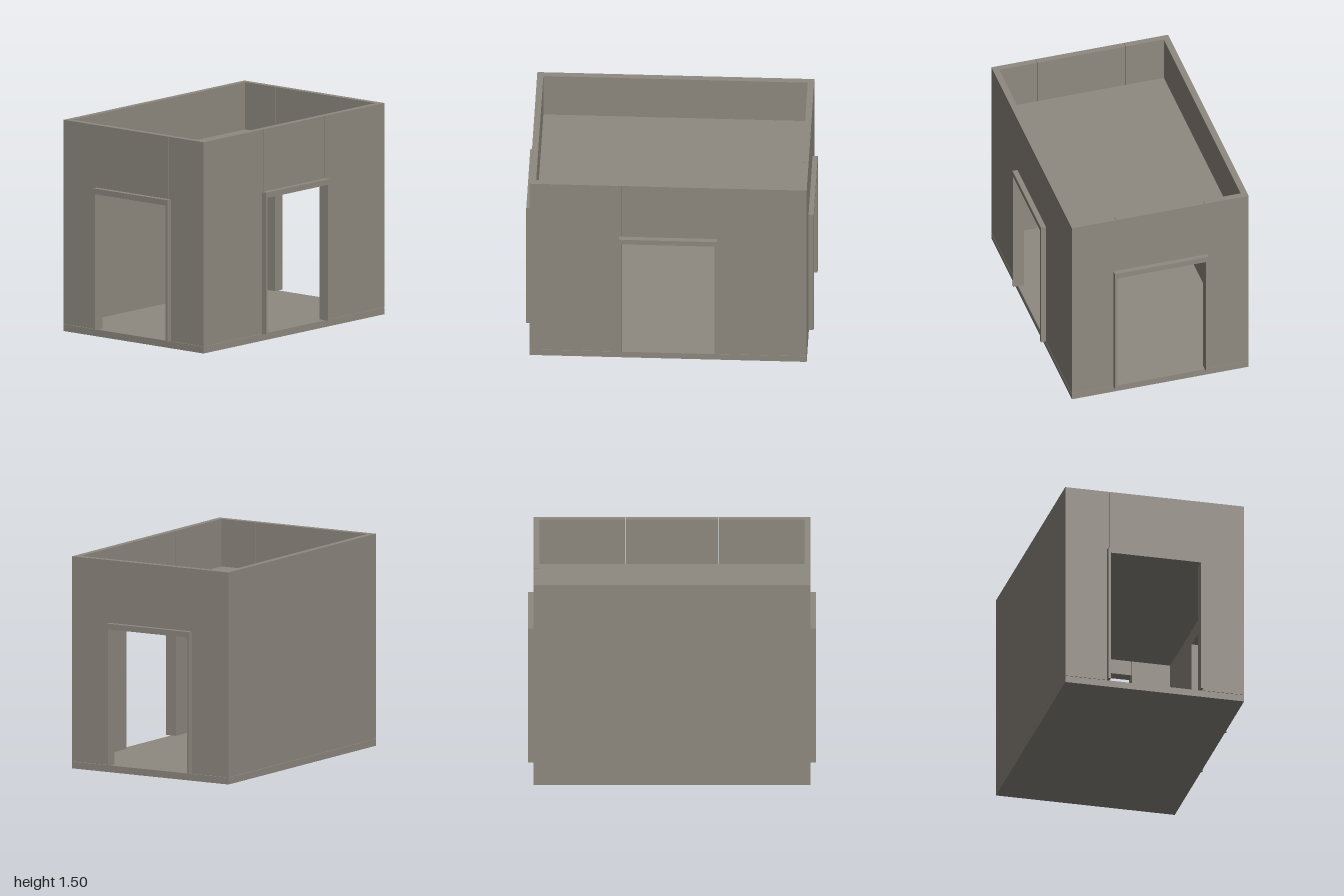
import * as THREE from 'three';

export function createModel() {
  const model = new THREE.Group();
  const stone = new THREE.MeshStandardMaterial({ color: 0x8f8a80 });
  stone.name = 'warm grey stone';

  // Box given by its limits on each axis
  const box = (parent, name, x0, x1, y0, y1, z0, z1) => {
    const mesh = new THREE.Mesh(new THREE.BoxGeometry(x1 - x0, y1 - y0, z1 - z0), stone);
    mesh.name = name;
    mesh.position.set((x0 + x1) / 2, (y0 + y1) / 2, (z0 + z1) / 2);
    parent.add(mesh);
  };

  const W = 0.964, BACK = -0.66, FRONT = 0.624;
  const FLOOR = 0.048, BASE = 0.05, TOP = 1.495, DOOR = 1.013;
  const T = 0.044, TRIM = 0.018, PROUD = 0.036, HEAD = 0.04;
  const DOOR_HALF = 0.323, JOINT = 0.002;

  // Wall along local x with a doorway and raised trim; outside faces local +z
  const doorWall = (name, half) => {
    const wall = new THREE.Group();
    wall.name = name;
    box(wall, 'wallPanel', -half, -DOOR_HALF, BASE, TOP, -T, 0);
    box(wall, 'wallPanel', DOOR_HALF, half, BASE, TOP, -T, 0);
    // Lintel panel, set between the side panels with fine joints
    box(wall, 'lintel', -DOOR_HALF + JOINT, DOOR_HALF - JOINT, DOOR, TOP, -T, 0);
    for (const s of [-1, 1]) {
      const a = s * DOOR_HALF, b = s * (DOOR_HALF + TRIM);
      box(wall, 'doorJamb', Math.min(a, b), Math.max(a, b), BASE, DOOR, 0, PROUD);
    }
    box(wall, 'doorHead', -DOOR_HALF - TRIM, DOOR_HALF + TRIM, DOOR, DOOR + HEAD, 0, PROUD);
    model.add(wall);
    return wall;
  };

  // Floor slab, solid back wall, and roof slab sunk below the parapet
  box(model, 'floor', -W, W, 0, FLOOR, BACK, FRONT);
  box(model, 'backWall', -W, W, BASE, TOP, BACK, BACK + T);
  box(model, 'roofSlab', -W + T, W - T, 1.12, 1.16, BACK + T, FRONT - T);

  // Front wall
  doorWall('frontWall', W).position.z = FRONT;

  // Side walls fit between the front and back walls
  for (const s of [-1, 1]) {
    const side = doorWall(s > 0 ? 'leftWall' : 'rightWall', (FRONT - BACK) / 2 - T);
    side.rotation.y = s * Math.PI / 2;
    side.position.set(s * W, 0, (BACK + FRONT) / 2);
  }

  return model;
}
